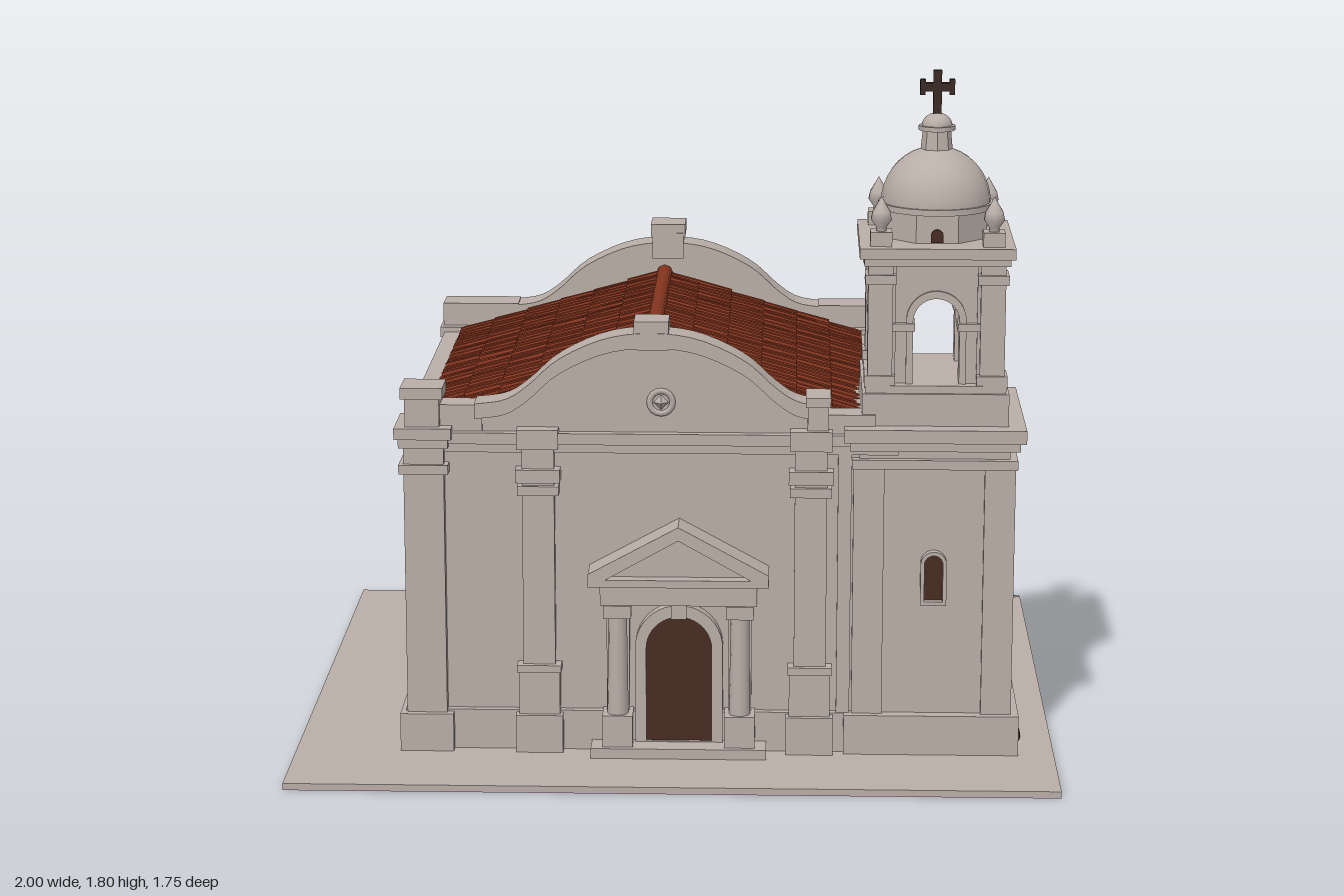
import * as THREE from 'three';
import { mergeGeometries } from 'three/addons/utils/BufferGeometryUtils.js';
import { ConvexGeometry } from 'three/addons/geometries/ConvexGeometry.js';

const mat = (name, color) => Object.assign(new THREE.MeshStandardMaterial({ color }), { name });

export function createModel() {
  const root = new THREE.Group();
  root.name = 'church';
  const stone = mat('stone', 0xb9aea7);
  const underside = mat('underside', 0xc6a9b5);
  const tile = mat('roof tile', 0x85351f);
  const tileDark = mat('roof shadow tile', 0x733019);
  const wood = mat('dark wood', 0x482c22);
  const iron = mat('iron', 0x3a2a24);

  const add = (name, geo, m = stone, parent = root) => {
    const mesh = new THREE.Mesh(geo, m);
    mesh.name = name;
    parent.add(mesh);
    return mesh;
  };
  const group = (name, x = 0, y = 0, z = 0, ry = 0, parent = root) => {
    const g = new THREE.Group();
    g.name = name;
    g.position.set(x, y, z);
    g.rotation.y = ry;
    parent.add(g);
    return g;
  };
  // Box given by its limits on each axis
  const box = (name, x0, x1, y0, y1, z0, z1, m = stone, parent = root) =>
    add(name, new THREE.BoxGeometry(x1 - x0, y1 - y0, z1 - z0)
      .translate((x0 + x1) / 2, (y0 + y1) / 2, (z0 + z1) / 2), m, parent);
  const extrude = (shape, z0, depth) =>
    new THREE.ExtrudeGeometry(shape, { depth, bevelEnabled: false, curveSegments: 10 }).translate(0, 0, z0);
  const poly = pts => new THREE.Shape(pts.map(p => new THREE.Vector2(p[0], p[1])));
  // Round-headed outline centred on x = 0; yTop is the crown
  const arch = (w, y0, yTop, C = THREE.Shape) => {
    const r = w / 2, s = new C();
    s.moveTo(-r, y0); s.lineTo(r, y0); s.lineTo(r, yTop - r);
    s.absarc(0, yTop - r, r, 0, Math.PI, false);
    s.lineTo(-r, y0);
    return s;
  };
  const flat = geo => { const g = geo.toNonIndexed(); g.computeVertexNormals(); return g; };

  // Ground slab and the earth ramp at the back corner
  box('ground', -1, 1, 0.004, 0.018, -0.875, 0.875);
  box('groundUnderside', -1, 1, 0, 0.004, -0.875, 0.875, underside);
  add('cornerRamp', new ConvexGeometry([
    [0.54, 0.01, -0.64], [0.56, 0.13, -0.66], [0.62, 0.13, -0.78], [0.6, 0.01, -0.79], [1, 0.018, -0.87], [0.99, 0.01, -0.875],
  ].map(p => new THREE.Vector3(...p))));

  // Nave walls, plinth and cornice
  box('nave', -0.69, 0.57, 0.01, 0.86, -0.74, 0.56);
  box('plinth', -0.71, 0.59, 0.01, 0.125, -0.76, 0.58);
  box('corniceLower', -0.70, 0.58, 0.825, 0.85, -0.755, 0.575);
  box('corniceUpper', -0.715, 0.6, 0.85, 0.88, -0.77, 0.59);

  // Corner piers with base and capital
  const pier = (x0, x1, z0, z1) => {
    const g = group('cornerPier');
    const b = (y0, y1, o) => box('pierCourse', x0 - o, x1 + o, y0, y1, z0 - o, z1 + o, stone, g);
    b(0.01, 0.12, 0.018); b(0.12, 0.78, 0); b(0.77, 0.795, 0.012);
    b(0.79, 0.85, 0); b(0.84, 0.865, 0.012); b(0.865, 0.895, 0.022);
  };
  pier(-0.705, -0.60, 0.46, 0.59);
  pier(-0.705, -0.60, -0.77, -0.65);
  pier(0.48, 0.59, -0.77, -0.65);

  // Curved gable walls with a raised coping
  const half = [[0, 1.145], [0.12, 1.13], [0.24, 1.075], [0.32, 1.005], [0.38, 0.967], [0.46, 0.955]];
  const curve = new THREE.SplineCurve([...half.slice(1).reverse().map(p => [-p[0], p[1]]), ...half]
    .map(p => new THREE.Vector2(p[0] - 0.06, p[1]))).getPoints(36).map(p => [p.x, p.y]);
  const last = curve[curve.length - 1][0], first = curve[0][0];
  const gable = (name, z, depth, face) => {
    const g = group(name);
    add('gableWall', extrude(poly([[first, 0.86], [last, 0.86], ...[...curve].reverse()]), z, depth), stone, g);
    const lower = curve.map(p => [p[0], p[1] - 0.04]);
    add('coping', extrude(poly([...lower, ...[...curve].reverse()]), face, depth + 0.015), stone, g);
    box('crownBlock', -0.105, -0.015, 1.1, 1.175, z - 0.008, z + depth + 0.012, stone, g);
    return g;
  };
  gable('frontGable', 0.49, 0.075, 0.49);
  const back = gable('backGable', -0.745, 0.085, -0.76);
  box('crownCap', -0.11, -0.01, 1.165, 1.2, -0.76, -0.65, stone, back);
  box('parapetBlock', -0.72, -0.5, 0.88, 0.96, -0.765, -0.66, stone, back);
  box('parapetBlock', 0.38, 0.6, 0.88, 0.96, -0.765, -0.66, stone, back);
  box('frontParapet', -0.62, -0.5, 0.88, 0.95, 0.49, 0.57);
  box('towerParapet', 0.36, 0.52, 0.88, 0.93, 0.49, 0.57);
  box('cornerPedestal', -0.70, -0.61, 0.89, 0.985, 0.5, 0.59);
  box('pedestalCap', -0.71, -0.60, 0.97, 1.0, 0.49, 0.6);
  box('gablePedestal', 0.345, 0.40, 0.88, 0.965, 0.49, 0.59);
  box('pedestalCap', 0.34, 0.405, 0.955, 0.98, 0.485, 0.595);
  const medal = group('medallion', -0.035, 0.96, 0.566);
  add('ring', new THREE.TorusGeometry(0.03, 0.008, 6, 16), stone, medal);
  add('boss', flat(new THREE.OctahedronGeometry(0.02)), stone, medal);

  // Facade pilasters
  for (const x of [-0.355, 0.355]) {
    const g = group('facadePilaster', x);
    const b = (w, y0, y1, z) => box('pilasterCourse', -w, w, y0, y1, 0.55, z, stone, g);
    b(0.062, 0.01, 0.12, 0.612); b(0.054, 0.12, 0.25, 0.598); b(0.058, 0.235, 0.255, 0.604);
    b(0.042, 0.25, 0.84, 0.588); b(0.054, 0.715, 0.74, 0.6); b(0.058, 0.75, 0.785, 0.604);
    b(0.054, 0.84, 0.892, 0.606);
  }
  box('facadeStrip', 0.425, 0.46, 0.12, 0.83, 0.55, 0.575);

  // Portal: steps, columns, pediment and door
  const portal = group('portal', 0.012);
  box('step', -0.23, 0.23, 0.01, 0.045, 0.55, 0.655, stone, portal);
  const surround = arch(0.23, 0.045, 0.42);
  surround.holes.push(arch(0.172, 0.047, 0.388, THREE.Path));
  add('door', extrude(arch(0.174, 0.045, 0.389), 0.577, 0.008), wood, portal);
  add('doorSurround', extrude(surround, 0.56, 0.034), stone, portal);
  box('keystone', -0.02, 0.02, 0.385, 0.43, 0.56, 0.604, stone, portal);
  for (const x of [-0.16, 0.16]) {
    box('columnBase', x - 0.04, x + 0.04, 0.045, 0.13, 0.56, 0.64, stone, portal);
    add('column', new THREE.CylinderGeometry(0.024, 0.028, 0.28, 12).translate(x, 0.27, 0.605), stone, portal);
    box('backPilaster', x - 0.03, x + 0.03, 0.12, 0.42, 0.55, 0.585, stone, portal);
    box('columnCapital', x - 0.036, x + 0.036, 0.395, 0.43, 0.56, 0.638, stone, portal);
  }
  box('entablature', -0.205, 0.205, 0.43, 0.49, 0.55, 0.632, stone, portal);
  box('entablatureCap', -0.235, 0.235, 0.485, 0.505, 0.55, 0.655, stone, portal);
  add('pediment', extrude(poly([[-0.2, 0.5], [0.2, 0.5], [0, 0.615]]), 0.55, 0.07), stone, portal);
  add('pedimentRake', extrude(poly([[-0.235, 0.505], [-0.19, 0.505], [0, 0.612], [0.19, 0.505], [0.235, 0.505],
    [0.235, 0.52], [0, 0.648], [-0.235, 0.52]]), 0.55, 0.105), stone, portal);

  // Windows facing local +z: round-headed in a deep stone frame, or plain with both ends rounded
  const framedWindow = (x, y, z, ry, w, h) => {
    const g = group('framedWindow', x, y, z, ry);
    add('pane', extrude(arch(w, -h / 2, h / 2), -0.004, 0.007), wood, g);
    const f = arch(w + 0.02, -h / 2 - 0.01, h / 2 + 0.01);
    f.holes.push(arch(w, -h / 2, h / 2, THREE.Path));
    add('windowFrame', extrude(f, -0.005, 0.027), stone, g);
  };
  for (const z of [-0.475, -0.115, 0.245]) framedWindow(-0.69, 0.64, z, -Math.PI / 2, 0.055, 0.17);
  const slot = new THREE.Shape();
  slot.absarc(0, 0.055, 0.035, 0, Math.PI, false);
  slot.absarc(0, -0.055, 0.035, Math.PI, Math.PI * 2, false);
  for (const x of [0.295, -0.035, -0.365])
    add('backWindow', extrude(slot, -0.004, 0.008).rotateY(Math.PI).translate(x, 0.622, -0.74), wood);
  add('wallVent', new THREE.CylinderGeometry(0.024, 0.024, 0.012, 10).rotateZ(Math.PI / 2).translate(-0.71, 0.115, -0.42), iron);

  // Roof: core prism covered by rows of barrel tiles
  const ridge = [-0.07, 1.055];
  add('roofCore', extrude(poly([[-0.655, 0.85], [0.495, 0.85], [0.495, 0.882], ridge, [-0.655, 0.882]]), -0.66, 1.155), tileDark);
  let seed = 7;
  const rnd = () => (seed = (seed * 16807) % 2147483647) / 2147483647;
  const tiles = [], cols = 31, rows = 6;
  for (const eave of [-0.655, 0.495]) {
    const dx = eave - ridge[0], dy = 0.878 - ridge[1], len = Math.hypot(dx, dy);
    const ang = Math.atan2(dy, dx) + Math.PI / 2;
    for (let c = 0; c < cols; c++) for (let r = 0; r < rows; r++) {
      const t = (r + 0.5) / rows, z = -0.64 + (c + 0.5) * (1.13 / cols);
      tiles.push(new THREE.CylinderGeometry(0.015, 0.019, len / rows + 0.01, 6)
        .rotateX((rnd() - 0.5) * 0.08).rotateZ(ang)
        .translate(ridge[0] + dx * t, ridge[1] + dy * t + rnd() * 0.004, z));
    }
  }
  add('roofTiles', flat(mergeGeometries(tiles)), tile);
  add('ridgeTiles', new THREE.CylinderGeometry(0.024, 0.024, 1.15, 8).rotateX(Math.PI / 2).translate(ridge[0], 1.056, -0.082), tile);

  // Tower base, centred on its own axis
  const tower = group('bellTower', 0.675, 0, 0.36);
  const course = (name, hx, hz, y0, y1) => box(name, -hx, hx, y0, y1, -hz, hz, stone, tower);
  course('towerPlinth', 0.23, 0.24, 0.01, 0.125);
  course('towerShaft', 0.195, 0.208, 0.12, 0.85);
  for (const sx of [-1, 1]) for (const sz of [-1, 1])
    box('towerCorner', sx * 0.17 - 0.04, sx * 0.17 + 0.04, 0.12, 0.8, sz * 0.18 - 0.04, sz * 0.18 + 0.04, stone, tower);
  course('towerNeck', 0.215, 0.228, 0.79, 0.815);
  course('towerCornice', 0.22, 0.235, 0.84, 0.87);
  course('towerCorniceCap', 0.235, 0.25, 0.865, 0.9);
  course('belfryBase', 0.19, 0.2, 0.9, 0.985);
  course('belfrySill', 0.182, 0.192, 0.98, 1.005);
  framedWindow(0.676, 0.497, 0.568, 0, 0.048, 0.125);
  framedWindow(0.87, 0.497, 0.285, Math.PI / 2, 0.058, 0.125);
  add('drainGrate', new THREE.SphereGeometry(0.052, 10, 6, 0, Math.PI * 2, 0, Math.PI / 2).scale(0.3, 0.65, 1).translate(0.905, 0.018, 0.435), iron);

  // Belfry: four arched panels, corner piers and cornice
  for (let i = 0; i < 4; i++) {
    const side = group('belfrySide', 0, 0, 0, i * Math.PI / 2, tower);
    const wall = poly([[-0.165, 1], [0.165, 1], [0.165, 1.33], [-0.165, 1.33]]);
    wall.holes.push(arch(0.12, 1.002, 1.23, THREE.Path));
    add('archWall', extrude(wall, 0.105, 0.055), stone, side);
    const trim = arch(0.155, 1.002, 1.25);
    trim.holes.push(arch(0.12, 1.004, 1.23, THREE.Path));
    add('archTrim', extrude(trim, 0.155, 0.014), stone, side);
    for (const s of [-1, 1]) box('impost', s * 0.085 - 0.03, s * 0.085 + 0.03, 1.145, 1.165, 0.1, 0.175, stone, side);
  }
  for (const sx of [-1, 1]) for (const sz of [-1, 1]) {
    const c = group('belfryCorner', sx * 0.145, 0, sz * 0.15, 0, tower);
    box('cornerShaft', -0.032, 0.032, 1, 1.33, -0.032, 0.032, stone, c);
    box('cornerFoot', -0.04, 0.04, 1, 1.03, -0.04, 0.04, stone, c);
    box('cornerCapital', -0.04, 0.04, 1.27, 1.295, -0.04, 0.04, stone, c);
    box('finialBase', -0.028, 0.028, 1.365, 1.405, -0.028, 0.028, stone, c);
    add('finial', new THREE.LatheGeometry([[0.014, 1.4], [0.014, 1.415], [0.028, 1.435], [0.024, 1.455], [0.01, 1.478], [0, 1.495]]
      .map(p => new THREE.Vector2(...p)), 10), stone, c);
  }
  course('belfryCornice', 0.188, 0.195, 1.32, 1.345);
  course('belfryCorniceCap', 0.2, 0.208, 1.34, 1.368);

  // Drum, dome, lantern and cross
  add('drum', flat(new THREE.CylinderGeometry(0.142, 0.142, 0.085, 8).rotateY(Math.PI / 8).translate(0, 1.405, 0)), stone, tower);
  add('drumOpening', extrude(arch(0.032, 1.37, 1.405), 0.127, 0.008), wood, tower);
  add('domeRim', new THREE.CylinderGeometry(0.15, 0.15, 0.016, 24).translate(0, 1.45, 0), stone, tower);
  add('dome', new THREE.SphereGeometry(0.143, 24, 10, 0, Math.PI * 2, 0, Math.PI / 2).scale(1, 1.02, 1).translate(0, 1.455, 0), stone, tower);
  add('lantern', flat(new THREE.CylinderGeometry(0.036, 0.042, 0.06, 8).translate(0, 1.62, 0)), stone, tower);
  add('lanternRim', new THREE.CylinderGeometry(0.048, 0.048, 0.012, 12).translate(0, 1.65, 0), stone, tower);
  add('lanternCap', new THREE.SphereGeometry(0.04, 12, 6, 0, Math.PI * 2, 0, Math.PI / 2).scale(1, 0.85, 1).translate(0, 1.655, 0), stone, tower);
  box('crossPost', -0.011, 0.011, 1.68, 1.8, -0.008, 0.008, iron, tower);
  box('crossArm', -0.042, 0.042, 1.745, 1.767, -0.008, 0.008, iron, tower);
  for (const s of [-1, 1]) box('crossEnd', s * 0.038 - 0.007, s * 0.038 + 0.007, 1.736, 1.776, -0.008, 0.008, iron, tower);
  return root;
}
